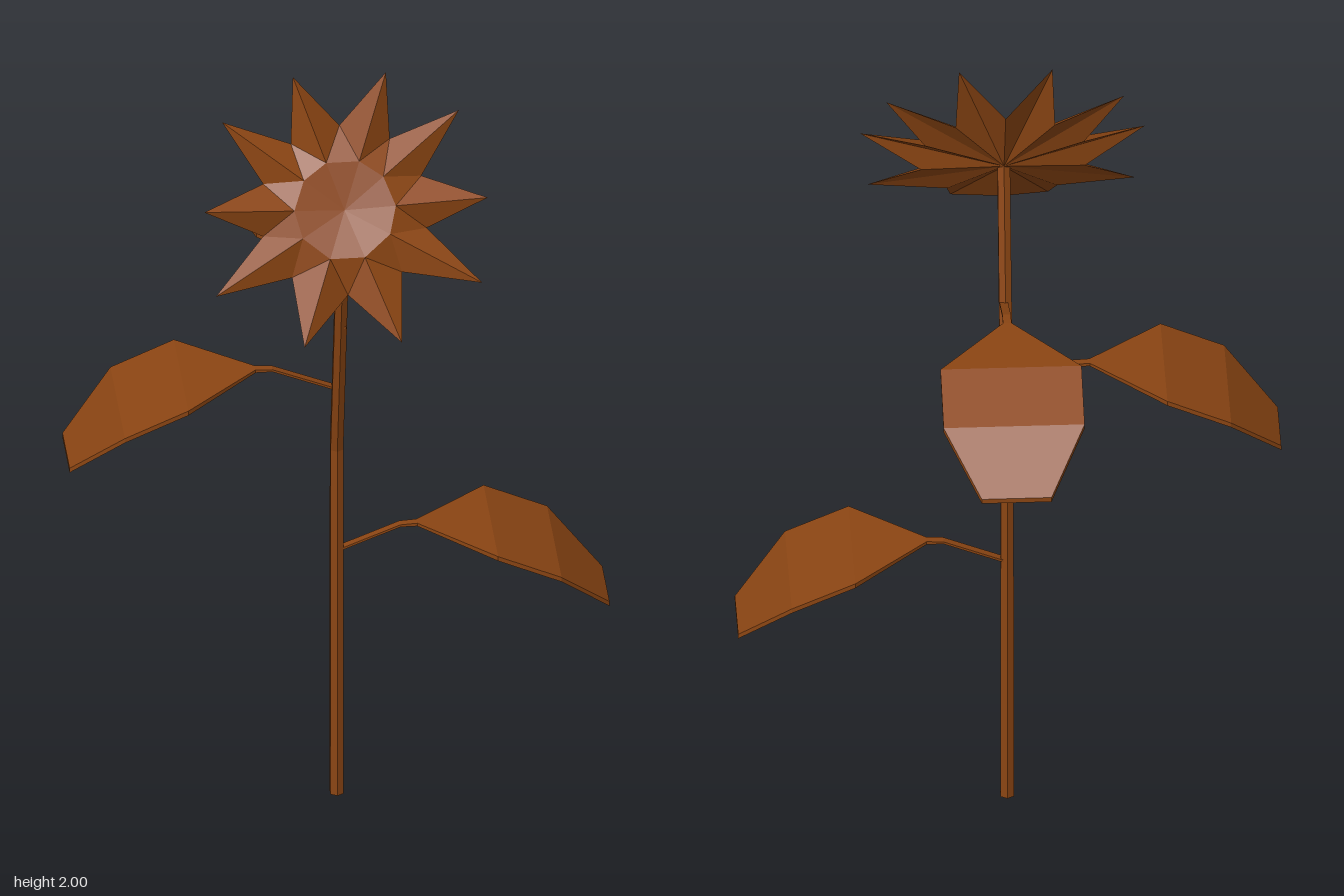
import * as THREE from 'three';

const brown = new THREE.MeshStandardMaterial({ color: 0x8b4513, flatShading: true, side: THREE.DoubleSide });

function mesh(name, geometry) {
  const m = new THREE.Mesh(geometry, brown);
  m.name = name;
  return m;
}

// Six-sided stem, upright at first and then leaning forward
function stem() {
  const geo = new THREE.CylinderGeometry(0.017, 0.018, 2, 6, 2);
  const rings = [[0, 0.075], [0.94, 0.075], [1.675, 0.237]]; // y, z
  const p = geo.attributes.position;
  for (let i = 0; i < p.count; i++) {
    const [y, z] = rings[Math.round(p.getY(i)) + 1];
    p.setY(i, y);
    p.setZ(i, p.getZ(i) + z);
  }
  geo.computeVertexNormals();
  return mesh('stem', geo);
}

// Drooping leaf on a narrow stalk, running along local +x
function leaf(name, x, y, z, turn) {
  // distance, height, half width, half thickness
  const stations = [
    [0, 0, 0.01, 0.003], [0.15, 0.06, 0.01, 0.003], [0.19, 0.061, 0.01, 0.004],
    [0.365, 0.049, 0.166, 0.006], [0.515, -0.017, 0.166, 0.006], [0.637, -0.14, 0.082, 0.006],
  ];
  const geo = new THREE.BoxGeometry(5, 2, 2, 5, 1, 1);
  const p = geo.attributes.position;
  for (let i = 0; i < p.count; i++) {
    const [d, h, w, t] = stations[Math.round(p.getX(i) + 2.5)];
    p.setXYZ(i, d, h + p.getY(i) * t, p.getZ(i) * w);
  }
  geo.computeVertexNormals();
  const m = mesh(name, geo);
  m.position.set(x, y, z);
  m.rotation.y = turn;
  return m;
}

// Ten-pointed flower head: ridged petals around a shallow centre
function flowerHead() {
  const half = [[0.115, -0.317, 0], [0.315, -0.187, -0.034], [0.335, 0.013, 0], [0.28, 0.222, -0.025], [0.11, 0.32, 0]];
  const tips = [...half, ...half.map(([x, y, z]) => [-x, y, z]).reverse()].map((a) => new THREE.Vector3(...a));
  const ringPoint = (dir, r, z) => new THREE.Vector3(dir.x, dir.y, 0).setLength(r).setZ(z);
  const next = (i) => (i + 1) % tips.length;
  const inner = tips.map((t) => ringPoint(t, 0.12, -0.028));
  const notch = tips.map((t, i) => ringPoint(t.clone().add(tips[next(i)]), 0.2, -0.067));
  const front = new THREE.Vector3(0, 0, -0.045);
  const back = new THREE.Vector3(0, 0, -0.09);

  const points = [];
  tips.forEach((tip, i) => {
    const j = next(i);
    points.push(
      front, inner[i], inner[j],
      inner[i], notch[i], inner[j],
      inner[i], tip, notch[i],
      inner[j], notch[i], tips[j],
      back, notch[i], tip,
      back, tips[j], notch[i],
    );
  });
  const geo = new THREE.BufferGeometry().setFromPoints(points);
  geo.computeVertexNormals();
  const m = mesh('flowerHead', geo);
  m.position.set(0, 1.72, 0.297);
  m.rotation.x = -0.519;
  return m;
}

export function createModel() {
  const group = new THREE.Group();
  group.name = 'flower';
  group.add(
    stem(),
    leaf('leftLeaf', 0, 0.662, 0.072, 0),
    leaf('rightLeaf', -0.006, 1.127, 0.11, Math.PI),
    leaf('backLeaf', 0.004, 1.325, 0.172, Math.PI / 2),
    flowerHead(),
  );
  return group;
}
